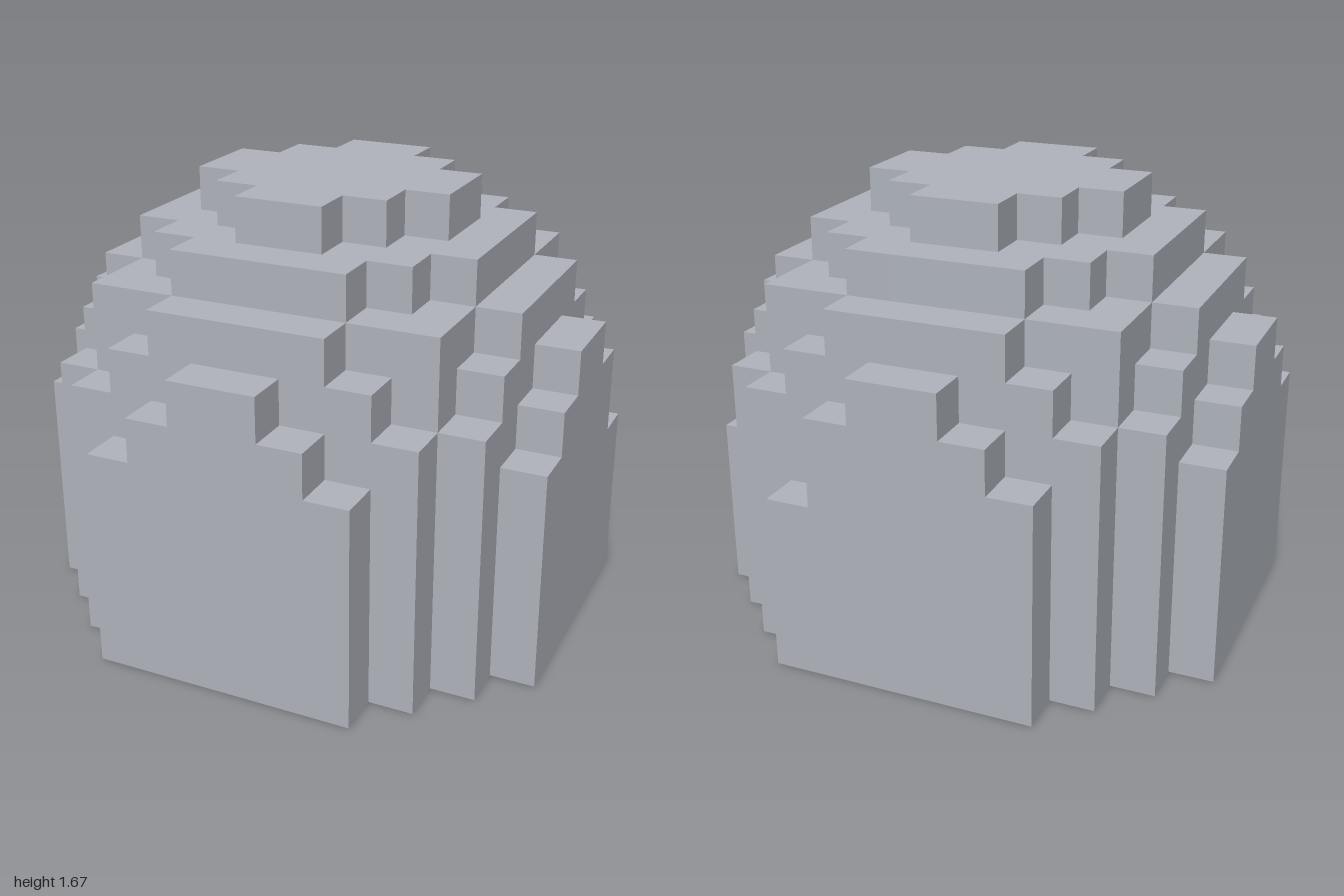
import * as THREE from 'three';

const U = 1 / 6;      // block size
const N = 12;         // blocks across
const WALL = 4;       // vertical sweep of the dome shell, in blocks
const R2 = 37;        // squared dome radius, in blocks

// Highest dome block above a quadrant cell, -1 if the cell is outside
function domeLevel(a, b) {
  const d = R2 - (a + 0.5) ** 2 - (b + 0.5) ** 2;
  return d < 0 ? -1 : Math.floor(Math.sqrt(d) - 0.5);
}

// Filled span [bottom, top] of the block column at grid cell i, k
function column(i, k) {
  const a = i < 6 ? 5 - i : i - 6, b = k < 6 ? 5 - k : k - 6;
  const m = domeLevel(a, b);
  if (m < 0) return null;
  const bottom = Math.min(m, domeLevel(a + 1, b) + 1, domeLevel(a, b + 1) + 1);
  // one shoulder block is missing on each side of the back left corner
  const notched = (i === 8 && k === 0) || (i === 11 && k === 3);
  return [bottom, WALL + m + (notched ? 0 : 1)];
}

function shellGeometry() {
  const pos = [];
  const quad = (p, q, r, s) => {
    for (const [x, y, z] of [p, q, r, p, r, s]) pos.push(x * U - 1, y * U, z * U - 1);
  };
  for (let i = 0; i < N; i++) for (let k = 0; k < N; k++) {
    const c = column(i, k);
    if (!c) continue;
    const [lo, hi] = c, I = i + 1, K = k + 1;
    // top and underside
    quad([i, hi, k], [i, hi, K], [I, hi, K], [I, hi, k]);
    quad([i, lo, k], [I, lo, k], [I, lo, K], [i, lo, K]);
    // sides, only where the neighbouring column leaves them open
    const sides = [
      [1, 0, [I, K], [I, k]], [-1, 0, [i, k], [i, K]],
      [0, 1, [i, K], [I, K]], [0, -1, [I, k], [i, k]],
    ];
    for (const [dx, dz, p, q] of sides) {
      const n = column(i + dx, k + dz);
      const open = n ? [[lo, Math.min(hi, n[0])], [Math.max(lo, n[1]), hi]] : [[lo, hi]];
      for (const [y0, y1] of open) {
        if (y1 > y0) quad([p[0], y0, p[1]], [q[0], y0, q[1]], [q[0], y1, q[1]], [p[0], y1, p[1]]);
      }
    }
  }
  const g = new THREE.BufferGeometry();
  g.setAttribute('position', new THREE.Float32BufferAttribute(pos, 3));
  g.computeVertexNormals();
  return g;
}

export function createModel() {
  const group = new THREE.Group();
  group.name = 'blockDome';
  const grey = new THREE.MeshStandardMaterial({ color: 0xb0b4bc });
  grey.name = 'lightGrey';
  const shell = new THREE.Mesh(shellGeometry(), grey);
  shell.name = 'domeShell';
  group.add(shell);
  return group;
}
